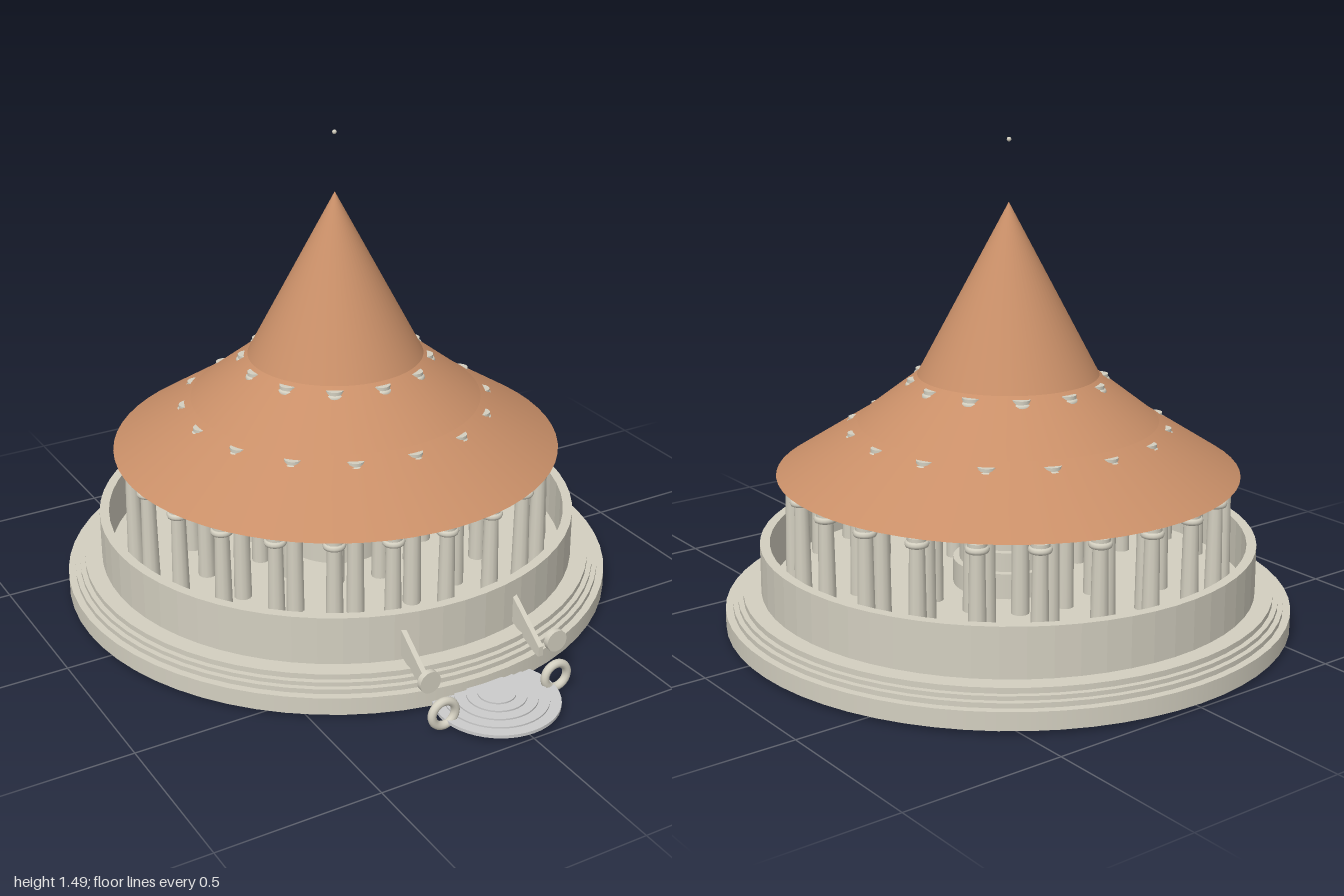
import * as THREE from 'three';

const stone = new THREE.MeshStandardMaterial({ color: 0xd3cfc0 });
const stoneFlat = new THREE.MeshStandardMaterial({ color: 0xd3cfc0, flatShading: true });
const grey = new THREE.MeshStandardMaterial({ color: 0xcccccc });
const tile = new THREE.MeshStandardMaterial({ color: 0xc98f68, side: THREE.DoubleSide });

function add(parent, name, geometry, material, x = 0, y = 0, z = 0) {
  const mesh = new THREE.Mesh(geometry, material);
  mesh.name = name;
  mesh.position.set(x, y, z);
  parent.add(mesh);
  return mesh;
}

// Upright disc or frustum given by its bottom and top heights
function drum(parent, name, rBottom, rTop, y0, y1, material = stone, segments = 64, open = false) {
  const geometry = new THREE.CylinderGeometry(rTop, rBottom, y1 - y0, segments, 1, open);
  return add(parent, name, geometry, material, 0, (y0 + y1) / 2, 0);
}

// Ring of columns, each with a tapered shaft, a round collar and a top block
function columnRing(parent, name, count, radius, floorY, topY) {
  const ring = new THREE.Group();
  ring.name = name;
  for (let i = 0; i < count; i++) {
    const a = (i / count) * Math.PI * 2;
    const column = new THREE.Group();
    column.name = 'column';
    column.position.set(Math.sin(a) * radius, 0, Math.cos(a) * radius);
    column.rotation.y = a;
    drum(column, 'columnShaft', 0.028, 0.022, floorY, topY - 0.015, stone, 12);
    const collar = add(column, 'columnCollar', new THREE.TorusGeometry(0.024, 0.011, 8, 20), stone, 0, topY - 0.02, 0);
    collar.rotation.x = Math.PI / 2;
    drum(column, 'columnTop', 0.028, 0.028, topY - 0.02, topY, stone, 16);
    ring.add(column);
  }
  parent.add(ring);
}

export function createModel() {
  const model = new THREE.Group();
  model.name = 'roundShrine';
  const hall = new THREE.Group();
  hall.name = 'hall';
  hall.position.z = -0.125;
  model.add(hall);

  // Stepped platform
  const steps = [[0.875, 0.02, 0.075], [0.852, 0.075, 0.09], [0.836, 0.09, 0.103], [0.82, 0.103, 0.12]];
  for (const [r, y0, y1] of steps) drum(hall, 'platformStep', r, r, y0, y1);

  // Low circular wall, open at the top
  const wall = [[0.735, 0.12], [0.765, 0.12], [0.765, 0.273], [0.735, 0.273], [0.735, 0.12]];
  add(hall, 'outerWall', new THREE.LatheGeometry(wall.map(p => new THREE.Vector2(...p)), 64), stoneFlat);

  // Three rings of columns, rising towards the centre
  columnRing(hall, 'outerColumns', 24, 0.66, 0.12, 0.475);
  columnRing(hall, 'middleColumns', 16, 0.47, 0.12, 0.632);
  columnRing(hall, 'innerColumns', 12, 0.28, 0.12, 0.777);

  // Central bell-shaped shrine under the roof
  const shrine = new THREE.Group();
  shrine.name = 'centralShrine';
  hall.add(shrine);
  [[0.17, 0.12, 0.2], [0.15, 0.2, 0.26], [0.13, 0.26, 0.285], [0.127, 0.285, 0.302], [0.124, 0.302, 0.32]]
    .forEach(([r, y0, y1]) => drum(shrine, 'shrineStep', r, r, y0, y1, stone, 40));
  const bell = [[0.122, 0.32], [0.12, 0.42], [0.118, 0.5], [0.105, 0.56], [0.075, 0.61], [0, 0.63]];
  add(shrine, 'shrineDome', new THREE.LatheGeometry(bell.map(p => new THREE.Vector2(...p)), 40), stone);
  add(shrine, 'shrineBox', new THREE.BoxGeometry(0.08, 0.07, 0.08), stone, 0, 0.65, 0);
  drum(shrine, 'shrineSpire', 0.035, 0.004, 0.685, 1.1, stone, 24);

  // Three-tier conical roof and the pinnacle ball above it
  const tiers = [[0.71, 0.486], [0.46, 0.645], [0.277, 0.786], [0, 1.31]];
  for (let i = 0; i < 3; i++) {
    drum(hall, 'roofTier', tiers[i][0], tiers[i + 1][0], tiers[i][1], tiers[i + 1][1], tile, 64, true);
  }
  add(hall, 'pinnacleBall', new THREE.SphereGeometry(0.007, 12, 8), stone, 0, 1.495, 0);

  // Round entrance slab in shallow concentric layers
  const slab = new THREE.Group();
  slab.name = 'entranceSlab';
  slab.position.z = 0.812;
  model.add(slab);
  for (let i = 0; i < 5; i++) {
    const r = 0.188 - i * 0.033;
    drum(slab, 'slabLayer', r, r, 0.025, 0.035 + i * 0.005, grey, 48);
  }

  // Sloping side rails with guard rings and discs
  const rail = new THREE.Shape([[0.61, 0.22], [0.61, 0.135], [0.74, 0.083], [0.755, 0.083], [0.755, 0.115]]
    .map(([z, y]) => new THREE.Vector2(-z, y)));
  const railGeometry = new THREE.ExtrudeGeometry(rail, { depth: 0.016, bevelEnabled: false });
  railGeometry.translate(0, 0, -0.008).rotateY(Math.PI / 2);
  for (const side of [-1, 1]) {
    add(model, 'sideRail', railGeometry, stone, side * 0.195, 0, 0);
    add(model, 'guardRing', new THREE.TorusGeometry(0.039, 0.013, 12, 32), stone, side * 0.195, 0.06, 0.832);
    const disc = add(model, 'guardDisc', new THREE.CylinderGeometry(0.034, 0.034, 0.018, 32), stone, side * 0.219, 0.15, 0.79);
    disc.rotation.x = Math.PI / 2;
  }
  return model;
}
